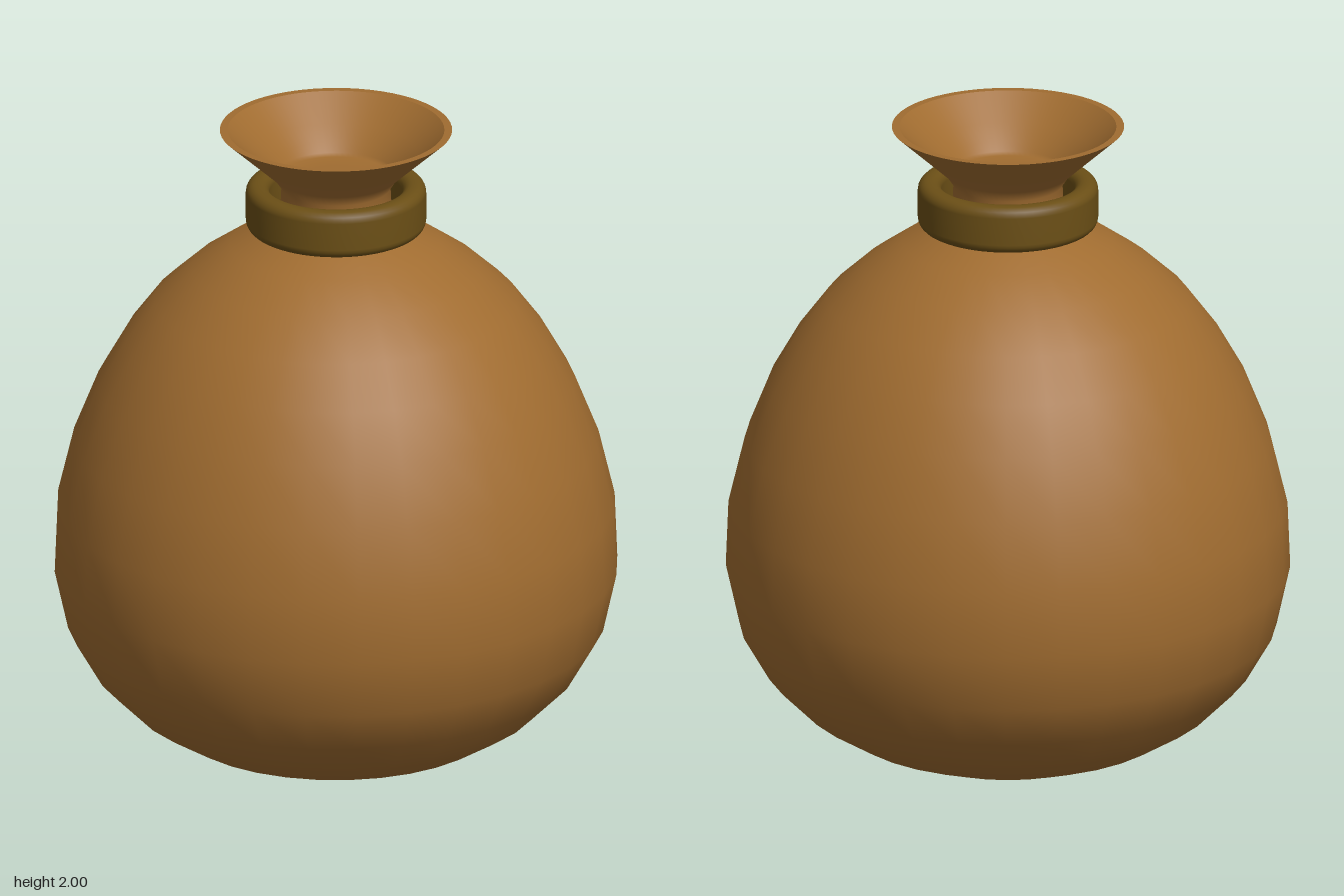
import * as THREE from 'three';

const cloth = new THREE.MeshStandardMaterial({ color: 0xa06c30, side: THREE.DoubleSide });
const cord = new THREE.MeshStandardMaterial({ color: 0x6b4f16, side: THREE.DoubleSide });

// Revolve a profile of [radius, height] pairs, listed from the bottom up on the outside
function revolve(name, profile, segments, material) {
  const points = profile.map(([r, y]) => new THREE.Vector2(r, y));
  const mesh = new THREE.Mesh(new THREE.LatheGeometry(points, segments), material);
  mesh.name = name;
  return mesh;
}

export function createModel() {
  const group = new THREE.Group();
  group.name = 'tiedSack';

  // Full, sagging sack
  group.add(revolve('sackBody', [
    [0, 0], [0.165, 0.02], [0.32, 0.055], [0.48, 0.115], [0.61, 0.195], [0.72, 0.305],
    [0.798, 0.44], [0.838, 0.62], [0.83, 0.82], [0.782, 1.02], [0.71, 1.2], [0.63, 1.34],
    [0.54, 1.46], [0.43, 1.56], [0.315, 1.64], [0.2, 1.69], [0.165, 1.705],
  ], 32, cloth));

  // Gathered neck opening into the flared mouth
  group.add(revolve('neckAndFlare', [
    [0.17, 1.69], [0.165, 1.76], [0.162, 1.82], [0.185, 1.855], [0.24, 1.905], [0.345, 2],
  ], 64, cloth));

  // Flat rim of the mouth
  group.add(revolve('mouthRim', [[0.345, 2], [0.322, 2]], 64, cloth));

  // Inside of the mouth, closed where the neck is tied
  group.add(revolve('mouthInside', [
    [0.322, 2], [0.24, 1.927], [0.195, 1.885], [0.175, 1.86], [0.165, 1.85], [0.1, 1.85], [0, 1.85],
  ], 64, cloth));

  // Tie band: a rounded rectangle section swept round the neck
  const inner = 0.198, outer = 0.268, low = 1.688, high = 1.832, round = 0.03;
  const corners = [
    [outer - round, low + round, -90], [outer - round, high - round, 0],
    [inner + round, high - round, 90], [inner + round, low + round, 180],
  ];
  const section = [];
  for (const [r, y, start] of corners) {
    for (let i = 0; i <= 5; i++) {
      const a = THREE.MathUtils.degToRad(start + i * 18);
      section.push([r + round * Math.cos(a), y + round * Math.sin(a)]);
    }
  }
  section.push(section[0]);
  group.add(revolve('tieBand', section, 64, cord));

  return group;
}
